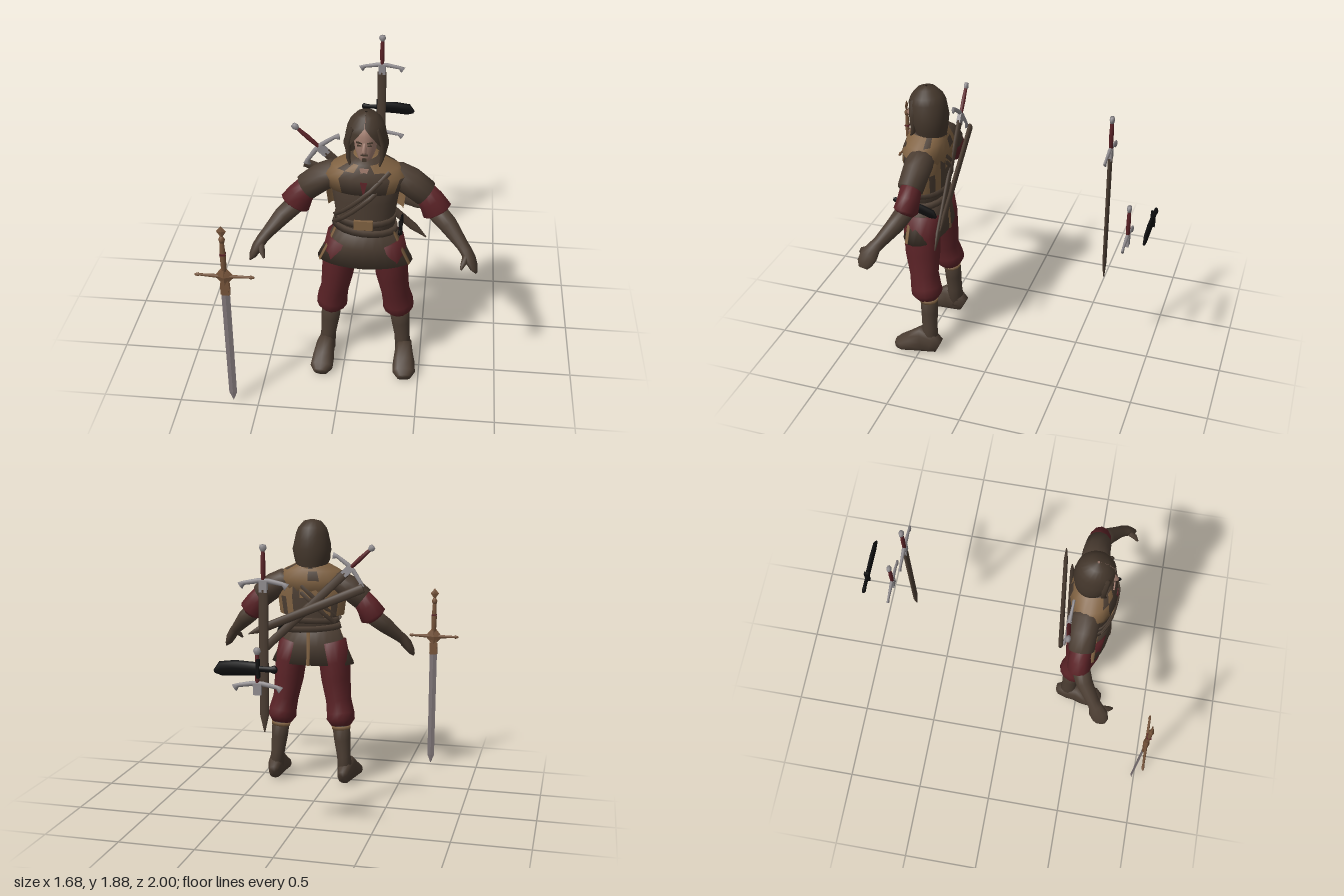
import * as THREE from 'three';

const paint = (name, color, side = THREE.FrontSide) => {
  const m = new THREE.MeshStandardMaterial({ color, side });
  m.name = name;
  return m;
};
const brown = paint('brown leather', 0x4b3d32, THREE.DoubleSide);
const hairBrown = paint('dark hair', 0x43362b, THREE.DoubleSide);
const tan = paint('tan cloth', 0x806242, THREE.DoubleSide);
const red = paint('dark red cloth', 0x5a2226);
const skin = paint('skin', 0xa07c6e);
const steel = paint('steel', 0x918d90);
const bladeGrey = paint('blade grey', 0x7d7476);
const bronze = paint('bronze', 0x76543a);
const black = paint('black', 0x0d0d0e);

// Lofts elliptical rings through stations [x, y, z, a, b, frontGap].
// a lies across the path, b along ref. pick(i, j) chooses a material index.
function loft(parent, name, mats, st, o = {}) {
  const { n = 12, p = 1, flat = false, pick = () => 0 } = o;
  const ref = new THREE.Vector3(...(o.ref || [0, 0, 1]));
  const open = st.some(s => s[5]);
  const cols = open ? n + 1 : n;
  const P = st.map(s => new THREE.Vector3(s[0], s[1], s[2]));
  const pos = [];
  const pw = t => Math.sign(t) * Math.abs(t) ** p;
  st.forEach((s, i) => {
    const T = P[Math.min(i + 1, P.length - 1)].clone().sub(P[Math.max(i - 1, 0)]).normalize();
    const u = T.clone().cross(ref).normalize(), v = u.clone().cross(T), gap = s[5] || 0;
    for (let j = 0; j < cols; j++) {
      const th = Math.PI / 2 + gap + (2 * Math.PI - 2 * gap) * j / n;
      const q = P[i].clone().addScaledVector(u, s[3] * pw(Math.cos(th))).addScaledVector(v, s[4] * pw(Math.sin(th)));
      pos.push(q.x, q.y, q.z);
    }
  });
  const list = Array.isArray(mats) ? mats : [mats];
  const faces = list.map(() => []);
  for (let i = 0; i < st.length - 1; i++) for (let j = 0; j < n; j++) {
    const k = (j + 1) % cols, A = i * cols, B = A + cols;
    faces[pick(i, j)].push(A + j, B + j, A + k, B + j, B + k, A + k);
  }
  if (!open) [0, st.length - 1].forEach((i, end) => {
    const c = pos.length / 3;
    pos.push(...P[i].toArray());
    for (let j = 0; j < n; j++) {
      const a = i * cols + j, b = i * cols + (j + 1) % n;
      faces[0].push(c, end ? b : a, end ? a : b);
    }
  });
  let g = new THREE.BufferGeometry();
  g.setAttribute('position', new THREE.Float32BufferAttribute(pos, 3));
  g.setIndex(faces.flat());
  let start = 0;
  faces.forEach((f, m) => { g.addGroup(start, f.length, m); start += f.length; });
  if (flat) g = g.toNonIndexed();
  g.computeVertexNormals();
  const mesh = new THREE.Mesh(g, list.length > 1 ? list : list[0]);
  mesh.name = name;
  parent.add(mesh);
  return mesh;
}

function box(parent, name, mat, size, at, rz = 0) {
  const m = new THREE.Mesh(new THREE.BoxGeometry(...size), mat);
  m.name = name;
  m.position.set(...at);
  m.rotation.z = rz;
  parent.add(m);
}

function group(parent, name, x = 0, y = 0, z = 0) {
  const g = new THREE.Group();
  g.name = name;
  g.position.set(x, y, z);
  parent.add(g);
  return g;
}

// Hilt with its origin at the guard, and an optional scabbard hanging down
function sword(parent, name, at, scabbard) {
  const g = group(parent, name, ...at);
  loft(g, 'grip', red, [[0, .01, 0, .013, .012], [0, .1, 0, .016, .014], [0, .19, 0, .011, .011]], { n: 8 });
  loft(g, 'pommel', steel, [[0, .18, 0, .013, .012], [0, .2, 0, .024, .016], [0, .22, 0, .018, .014]], { n: 8 });
  loft(g, 'guard', steel, [[-.145, -.03, 0, .024, .01], [-.12, -.012, 0, .013, .008], [-.03, .004, 0, .016, .012],
    [.03, .004, 0, .016, .012], [.12, -.012, 0, .013, .008], [.145, -.03, 0, .024, .01]], { n: 8 });
  box(g, 'collar', steel, [.05, .07, .026], [0, -.03, 0]);
  if (scabbard) loft(g, 'scabbard', brown, [[0, -.05, 0, .031, .014], [0, -.82, 0, .029, .013], [0, -.93, 0, .004, .004]], { n: 8 });
  return g;
}

// Sheathed knife along x, handle at -x
function knife(parent, name, at) {
  const g = group(parent, name, ...at);
  loft(g, 'sheath', black, [[-.07, 0, 0, .04, .014], [.06, 0, 0, .046, .014], [.15, -.01, 0, .044, .012], [.19, -.03, 0, .012, .008]], { n: 8 });
  loft(g, 'handle', black, [[-.19, 0, 0, .012, .008], [-.175, 0, 0, .026, .014], [-.15, 0, 0, .017, .012], [-.07, 0, 0, .018, .012]], { n: 8 });
  box(g, 'knifeGuard', black, [.018, .11, .03], [-.075, 0, 0]);
  return g;
}

function buildHead(c) {
  loft(c, 'neck', skin, [[0, 1.5, .48, .06, .06], [0, 1.64, .5, .05, .055]]);
  loft(c, 'face', skin, [[0, 1.585, .565, .025, .025], [0, 1.605, .55, .042, .05], [0, 1.65, .525, .062, .075],
    [0, 1.7, .515, .07, .085], [0, 1.75, .51, .072, .088], [0, 1.81, .5, .065, .08]], { n: 16 });
  loft(c, 'nose', skin, [[0, 1.722, .59, .009, .012], [0, 1.675, .609, .016, .022], [0, 1.66, .6, .014, .012]], { n: 6 });
  for (const s of [-1, 1]) {
    box(c, 'eye', hairBrown, [.026, .007, .008], [s * .03, 1.706, .591]);
    box(c, 'eyebrow', hairBrown, [.036, .008, .009], [s * .032, 1.725, .593], s * .2);
    loft(c, 'sideLock', hairBrown, [[s * .075, 1.8, .56, .012, .02], [s * .1, 1.7, .55, .018, .022], [s * .1, 1.6, .55, .014, .016], [s * .08, 1.54, .58, .003, .004]], { n: 6 });
  }
  box(c, 'moustache', hairBrown, [.045, .008, .008], [0, 1.645, .597]);
  box(c, 'goatee', hairBrown, [.024, .022, .008], [0, 1.613, .597]);
  // hair open around the face, falling on the shoulders
  loft(c, 'hair', hairBrown, [[0, 1.877, .49, .008, .008, .01], [0, 1.865, .49, .06, .06, .01], [0, 1.82, .487, .098, .103, .02],
    [0, 1.78, .485, .114, .12, .3], [0, 1.73, .482, .123, .124, .62], [0, 1.67, .475, .136, .125, .88],
    [0, 1.6, .47, .12, .11, .85], [0, 1.53, .475, .1, .1, .8]], { n: 20 });
}

function buildTorso(c) {
  loft(c, 'tunic', brown, [[0, 1.57, .48, .08, .08], [0, 1.52, .49, .18, .11], [0, 1.43, .5, .215, .135],
    [0, 1.32, .505, .2, .135], [0, 1.18, .505, .18, .125], [0, 1.1, .505, .185, .13]], { n: 20 });
  const hem = [[1.12, .185, .13], [1.0, .235, .138], [.865, .3, .145]];
  loft(c, 'skirt', brown, hem.map(([y, a, b]) => [0, y, .505, a, b]), { n: 24 });
  // trim strips on the skirt
  for (const deg of [22, 158, 270]) {
    const f = deg * Math.PI / 180, dx = Math.cos(f), dz = Math.sin(f);
    loft(c, 'skirtTrim', tan, hem.map(([y, a, b]) => [a * 1.01 * dx, y, .505 + b * 1.02 * dz, .014, .004]), { n: 6, ref: [dx, 0, dz] });
  }
  loft(c, 'belt', brown, [[0, 1.2, .505, .187, .132], [0, 1.16, .505, .19, .135]], { n: 20 });
  const low = loft(c, 'lowerBelt', brown, [[0, .02, 0, .198, .14], [0, -.02, 0, .205, .142]], { n: 20 });
  low.position.set(0, 1.12, .505);
  low.rotation.z = -.08;
  box(c, 'buckle', tan, [.115, .062, .02], [0, 1.182, .638]);
  // patchy mantle over the shoulders
  loft(c, 'mantle', [tan, brown], [[0, 1.605, .49, .075, .085], [0, 1.575, .49, .11, .11], [0, 1.53, .49, .2, .13],
    [0, 1.475, .49, .26, .145], [0, 1.38, .5, .225, .148]], {
    n: 20,
    pick: (i, j) => {
      const k = Math.min(j, 19 - j);
      if (k < 1 || (i === 0 && k < 6)) return 1;
      if (k === 1 && i > 1) return 1;
      if (k > 3 && k < 6 && i > 2) return 1;
      return (j * 7 + i * 5) % 11 === 3 ? 1 : 0;
    },
  });
  loft(c, 'backCape', [tan, brown], [[0, 1.56, .49, .12, .12, 1.75], [0, 1.47, .49, .24, .137, 1.75],
    [0, 1.35, .495, .25, .145, 1.7], [0, 1.22, .5, .235, .14, 1.75]], {
    n: 12, pick: (i, j) => (j > 3 && j < 8 && i === 2) || (j * 5 + i * 3) % 7 === 2 ? 1 : 0,
  });
  // open collar with the shirt beneath
  const vee = (name, mat, w, top, bottom, z) => {
    const s = new THREE.Shape([new THREE.Vector2(-w, 0), new THREE.Vector2(0, bottom - top), new THREE.Vector2(w, 0)]);
    const m = new THREE.Mesh(new THREE.ExtrudeGeometry(s, { depth: .008, bevelEnabled: false }), mat);
    m.name = name;
    m.position.set(0, top, z);
    m.rotation.x = -.12;
    c.add(m);
  };
  vee('shirt', red, .022, 1.48, 1.39, .632);
  vee('throat', skin, .028, 1.56, 1.47, .606);
  // paired baldric straps, front and back
  for (const [face, b] of [[1, .152], [-1, .148]]) for (const d of [0, .05]) {
    const pts = [];
    for (let i = 0; i <= 6; i++) {
      const x = .15 - .33 * i / 6;
      pts.push([x, 1.53 - d - .31 * i / 6, .5 + face * (b - (i < 2 ? .018 * (2 - i) : 0)) * Math.sqrt(1 - (x / .22) ** 2), .016, .006]);
    }
    loft(c, 'baldric', brown, pts, { n: 6 });
  }
}

function buildLimbs(c, s) {
  const side = s > 0 ? 'left' : 'right';
  const part = (name, mat, st, o) => loft(c, side + name, mat, st.map(q => [q[0] * s, ...q.slice(1)]), o);
  // arm
  part('ShortSleeve', brown, [[.13, 1.45, .475, .07, .08], [.2, 1.445, .472, .085, .092], [.27, 1.41, .47, .088, .088], [.366, 1.335, .475, .085, .082]]);
  part('RedSleeve', red, [[.34, 1.36, .472, .07, .065], [.4, 1.285, .472, .083, .07], [.437, 1.22, .48, .097, .076], [.45, 1.2, .485, .06, .055]]);
  part('Forearm', brown, [[.435, 1.215, .485, .062, .06], [.51, 1.15, .525, .058, .055], [.6, 1.06, .6, .038, .042],
    [.625, 1.035, .625, .036, .046], [.655, .99, .65, .034, .06], [.68, .945, .67, .024, .052], [.697, .918, .675, .008, .03]]);
  part('Thumb', brown, [[.632, 1.03, .645, .022, .022], [.615, .995, .71, .018, .018], [.6, .965, .735, .007, .007]], { n: 8, ref: [0, 1, 0] });
  // leg
  part('Trouser', red, [[.13, 1.02, .5, .11, .12], [.16, .88, .495, .11, .122], [.172, .75, .49, .103, .117], [.195, .6, .478, .09, .096],
    [.213, .51, .462, .098, .102], [.216, .465, .455, .1, .105], [.22, .42, .447, .068, .07]], { n: 14 });
  part('BootShaft', brown, [[.221, .44, .442, .066, .058], [.232, .32, .437, .06, .056], [.245, .2, .435, .05, .052], [.258, .06, .435, .055, .065]]);
  part('BootTrim', tan, [[.221, .425, .442, .07, .062], [.223, .4, .442, .067, .06]]);
  part('BootFoot', brown, [[.255, .055, .37, .04, .055], [.258, .08, .42, .056, .08], [.262, .095, .49, .06, .095],
    [.268, .065, .56, .072, .065], [.272, .043, .63, .074, .043], [.276, .03, .67, .045, .03]], { p: .8, ref: [0, 1, 0] });
}

function buildGreatsword(root) {
  const g = group(root, 'greatsword', -.66, 0, .98);
  const d = { n: 4, flat: true };
  loft(g, 'blade', bladeGrey, [[0, .9, 0, .027, .008], [0, .08, 0, .025, .007], [0, .02, 0, .002, .002]], d);
  box(g, 'ricasso', bronze, [.044, .11, .02], [0, .91, 0]);
  loft(g, 'guardDiamond', bronze, [[0, 1.055, 0, .01, .01], [0, .99, 0, .062, .022], [0, .93, 0, .01, .01]], d);
  for (const s of [-1, 1]) {
    loft(g, 'crossbar', bronze, [[s * .03, .99, 0, .014, .01], [s * .15, .993, 0, .008, .007], [s * .158, .993, 0, .014, .01], [s * .18, .993, 0, .006, .005]], { n: 8 });
    box(g, 'lug', bronze, [.014, .08, .016], [s * .022, .9, 0]);
  }
  loft(g, 'grip', bronze, [[0, 1.03, 0, .016, .013], [0, 1.13, 0, .019, .015], [0, 1.25, 0, .012, .011]], { n: 8 });
  box(g, 'gripBand', red, [.034, .012, .03], [0, 1.15, 0]);
  loft(g, 'gripRing', bronze, [[0, 1.235, 0, .016, .015], [0, 1.255, 0, .02, .018], [0, 1.275, 0, .01, .008]], { n: 8 });
  loft(g, 'pommel', bronze, [[0, 1.27, 0, .004, .004], [0, 1.31, 0, .03, .01], [0, 1.345, 0, .002, .002]], d);
}

export function createModel() {
  const root = new THREE.Group();
  root.name = 'swordsman';
  const c = group(root, 'figure', .134);
  buildHead(c);
  buildTorso(c);
  for (const s of [-1, 1]) buildLimbs(c, s);

  // worn weapons
  const worn = sword(c, 'backSword', [-.294, 1.56, .375], true);
  worn.rotation.set(.08, 0, .8);
  loft(c, 'emptyScabbard', brown, [[-.39, 1.43, .345, .032, .015], [.31, 1.13, .279, .03, .014], [.405, 1.09, .27, .004, .004]], { n: 8 });
  const hip = knife(c, 'hipKnife', [.222, 1.12, .51]);
  hip.rotation.set(0, Math.PI / 2, -.22);
  hip.scale.setScalar(.8);

  // loose weapons
  buildGreatsword(root);
  sword(root, 'sheathedSword', [.134, 1.62, -.7], true);
  sword(root, 'spareHilt', [.134, 1.025, -.84], false);
  knife(root, 'spareKnife', [.16, 1.155, -.983]);
  return root;
}
